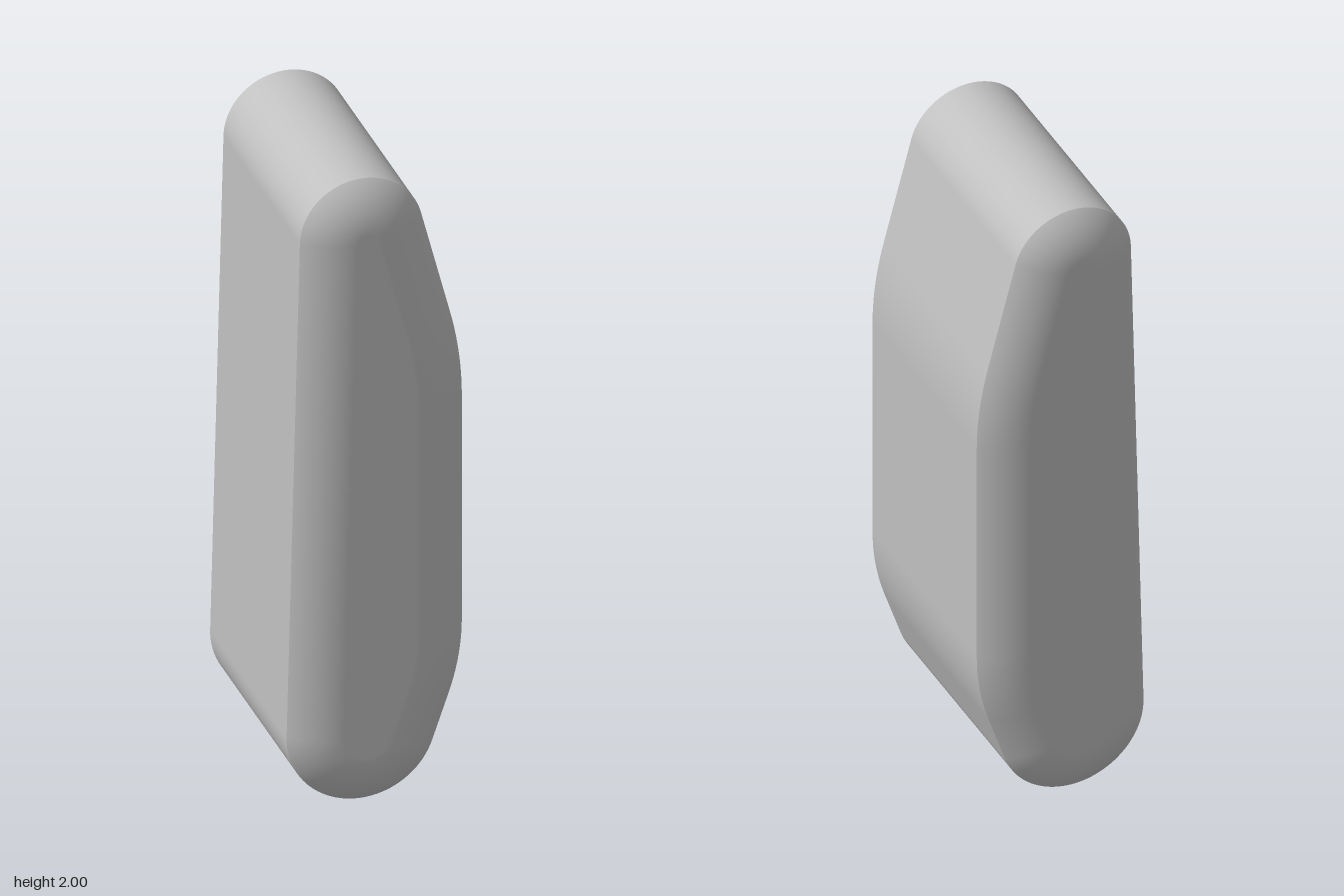
import * as THREE from 'three';

const HALF_WALL = 0.348;  // half depth of the straight wall
const HALF_DEPTH = 0.408; // half depth over the domed ends
const INSET = 0.155;      // how far the end rounding reaches inward

// Outline made of tangent arcs, anticlockwise: centre, radius, start and end angle in degrees
const ARCS = [
  [-0.458, 0.532, 0.72, -18.9, 0],
  [-0.828, 1.25, 1.09, 0, 14.6],
  [-0.04, 1.815, 0.185, 14.6, 178.56],
  [-0.04, 0.225, 0.225, 178.56, 341.1],
];

// Outline points moved inward by an inset, each with its outward angle
function outline(inset) {
  const points = [];
  for (const [cx, cy, r, from, to] of ARCS) {
    const steps = Math.max(10, Math.round((to - from) / 4));
    for (let i = 0; i <= steps; i++) {
      const a = THREE.MathUtils.degToRad(from + ((to - from) * i) / steps);
      points.push({ x: cx + (r - inset) * Math.cos(a), y: cy + (r - inset) * Math.sin(a), a });
    }
  }
  return points;
}

// Closed loft through rows ordered from back to front; tilt leans the normal towards z
function loft(rows) {
  const position = [], normal = [], index = [];
  const n = outline(0).length;
  rows.forEach(({ inset, z, tilt, scale = 1 }, r) => {
    outline(inset).forEach(({ x, y, a }, j) => {
      position.push(-0.02 + (x + 0.02) * scale, 1 + (y - 1) * scale, z);
      normal.push(Math.cos(a) * Math.cos(tilt), Math.sin(a) * Math.cos(tilt), Math.sin(tilt));
      if (r === 0) return;
      const k = (j + 1) % n, lo = (r - 1) * n, hi = r * n;
      index.push(lo + j, lo + k, hi + k, lo + j, hi + k, hi + j);
    });
  });
  const geometry = new THREE.BufferGeometry();
  geometry.setAttribute('position', new THREE.Float32BufferAttribute(position, 3));
  geometry.setAttribute('normal', new THREE.Float32BufferAttribute(normal, 3));
  geometry.setIndex(index);
  return geometry;
}

// Rounded end: an arc from the wall edge that runs smoothly into a flat face
function endRows(side) {
  const depth = HALF_DEPTH - HALF_WALL;
  const sweep = 2 * Math.atan(depth / INSET);
  const radius = INSET / Math.sin(sweep);
  const rows = [];
  for (let i = 0; i <= 12; i++) {
    const t = sweep * (1 - i / 12);
    rows.push({
      inset: INSET - radius * Math.sin(t),
      z: side * (HALF_DEPTH - radius * (1 - Math.cos(t))),
      tilt: side * (Math.PI / 2 - t),
    });
  }
  rows.push({ inset: INSET, z: side * HALF_DEPTH, tilt: side * Math.PI / 2, scale: 0 });
  return side > 0 ? rows : rows.reverse();
}

export function createModel() {
  const group = new THREE.Group();
  group.name = 'roundedBlock';
  const grey = new THREE.MeshStandardMaterial({ color: 0xc0c0c0 });
  grey.name = 'grey';

  const add = (name, rows) => {
    const mesh = new THREE.Mesh(loft(rows), grey);
    mesh.name = name;
    group.add(mesh);
  };

  add('sideWall', [
    { inset: 0, z: -HALF_WALL, tilt: 0 },
    { inset: 0, z: HALF_WALL, tilt: 0 },
  ]);
  add('frontEnd', endRows(1));
  add('backEnd', endRows(-1));
  return group;
}
